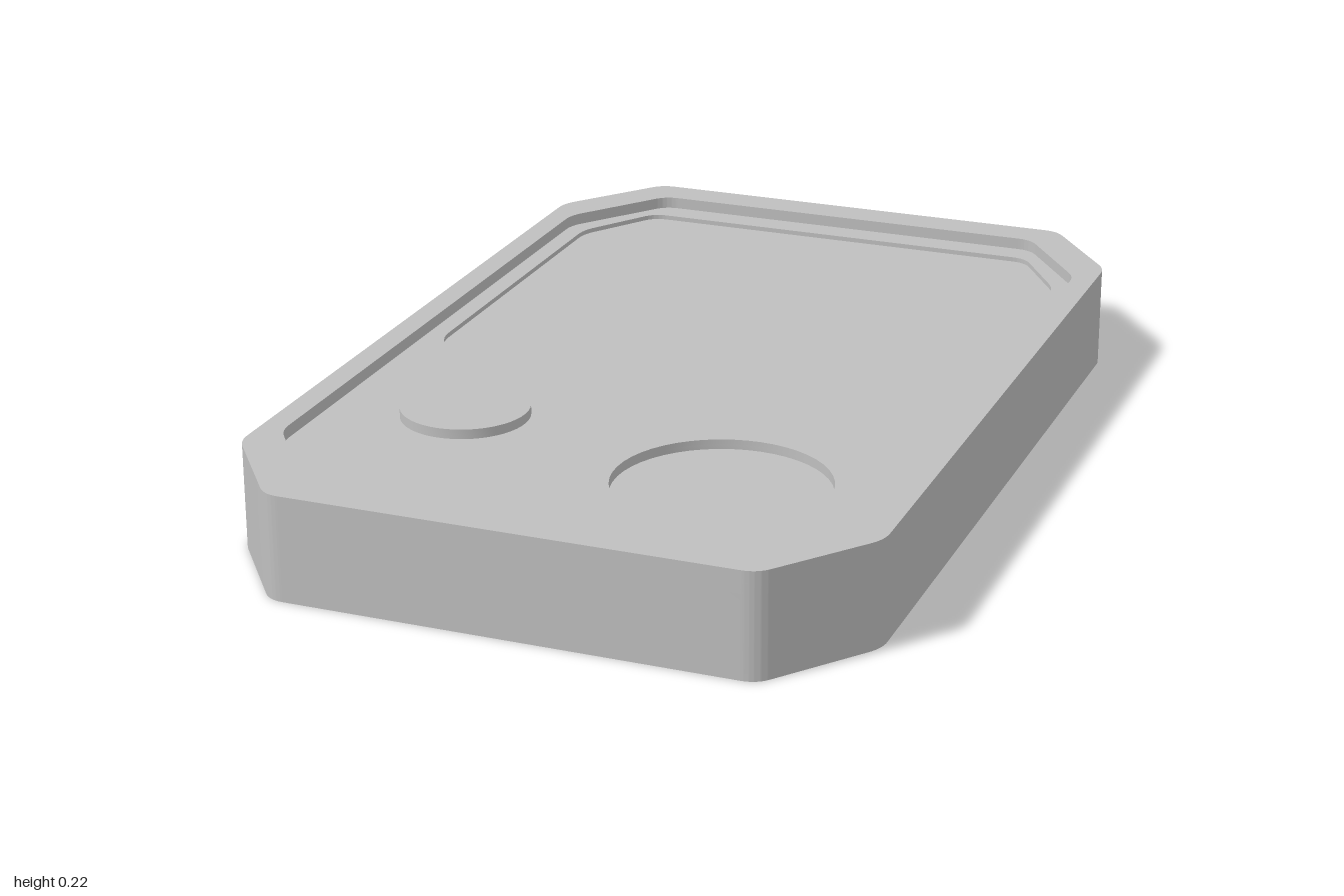
import * as THREE from 'three';
import { toCreasedNormals } from 'three/addons/utils/BufferGeometryUtils.js';

// Octagonal outline with softened corners: half width w, half length l, cuts cx and cz, centred at z
function octagon(w, l, cx, cz, z = 0, soft = 0.03) {
  const pts = [
    [w, l - cz], [w - cx, l], [cx - w, l], [-w, l - cz],
    [-w, cz - l], [cx - w, -l], [w - cx, -l], [w, cz - l],
  ].map(([x, y]) => new THREE.Vector2(x, y - z));
  const shape = new THREE.Shape();
  pts.forEach((p, i) => {
    const prev = pts[(i + 7) % 8], next = pts[(i + 1) % 8];
    const a = prev.clone().sub(p).setLength(soft).add(p);
    const b = next.clone().sub(p).setLength(soft).add(p);
    if (i === 0) shape.moveTo(a.x, a.y);
    else shape.lineTo(a.x, a.y);
    shape.quadraticCurveTo(p.x, p.y, b.x, b.y);
  });
  shape.closePath();
  return shape;
}

function circle(x, z, r) {
  return new THREE.Shape().absarc(x, -z, r, 0, Math.PI * 2, false);
}

export function createModel() {
  const model = new THREE.Group();
  model.name = 'handheldCase';
  const grey = new THREE.MeshStandardMaterial({ color: 0xbfbfbf });
  grey.name = 'plain grey';

  // Horizontal slab from height y0 to y1, with optional cut-outs
  function slab(name, outline, y0, y1, holes = []) {
    outline.holes = holes;
    const geo = new THREE.ExtrudeGeometry(outline, { depth: y1 - y0, bevelEnabled: false, curveSegments: 24 });
    geo.rotateX(-Math.PI / 2);
    geo.translate(0, y0, 0);
    const mesh = new THREE.Mesh(toCreasedNormals(geo, 0.5), grey);
    mesh.name = name;
    model.add(mesh);
  }

  const body = () => octagon(0.65, 1, 0.165, 0.215);
  const screen = () => octagon(0.56, 0.55, 0.11, 0.17, -0.31);
  const dish = () => circle(0.265, 0.59, 0.213);

  // Case, stacked from the solid back up to the raised rim
  slab('caseBack', body(), 0, 0.17);
  slab('dishLayer', body(), 0.17, 0.18, [dish()]);
  slab('facePlate', body(), 0.18, 0.19, [dish(), screen()]);
  slab('rim', body(), 0.19, 0.215, [octagon(0.6, 0.92, 0.155, 0.21)]);

  // Raised round button
  slab('button', circle(-0.33, 0.45, 0.13), 0.19, 0.21);

  return model;
}
